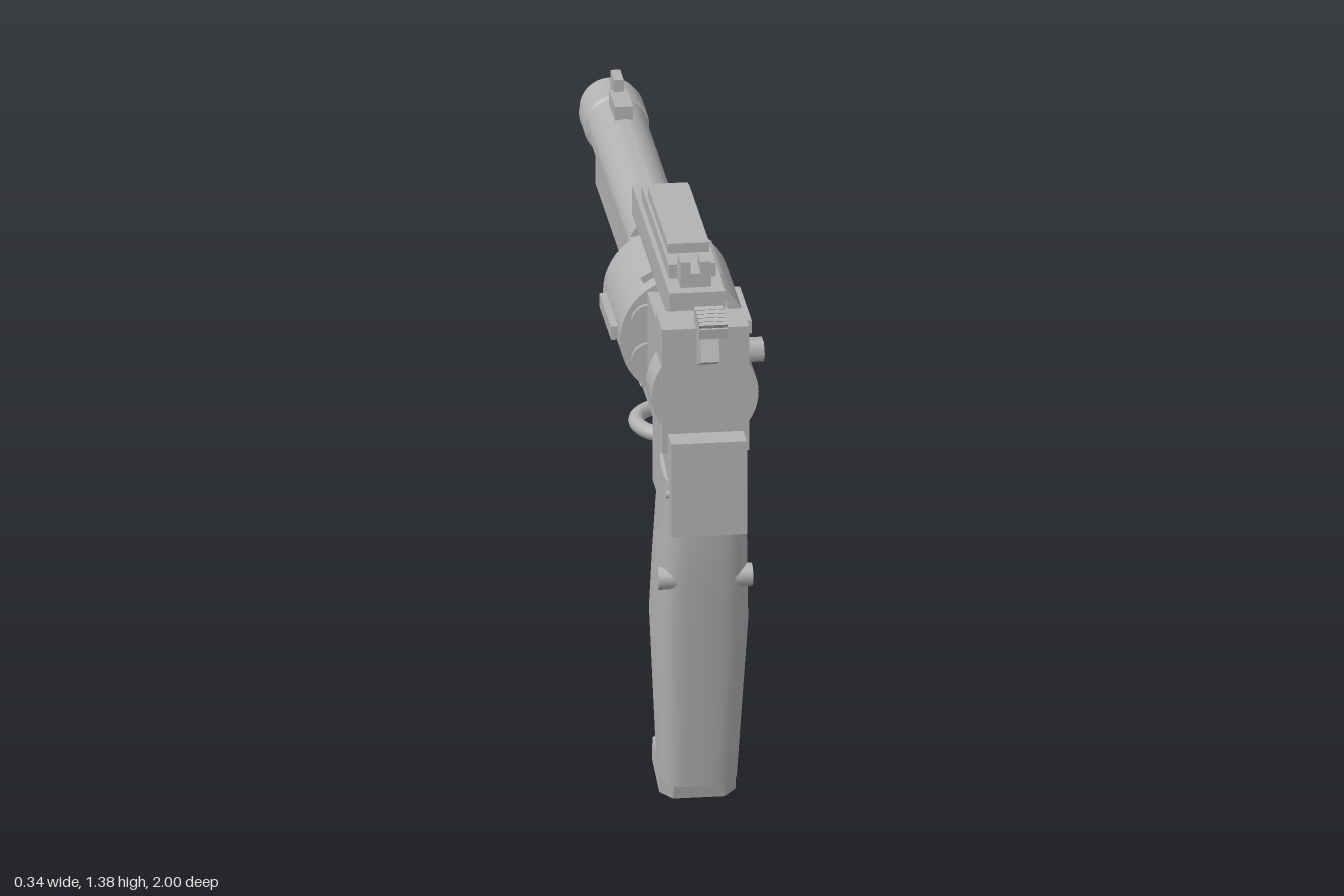
import * as THREE from 'three';
import { toCreasedNormals } from 'three/addons/utils/BufferGeometryUtils.js';

const steel = new THREE.MeshStandardMaterial({ color: 0xb2b2b2 });
steel.name = 'grey steel';

// Lofted grip, bottom to top: each row gives the rear and front point (z, y) and the half width
function gripGeometry(rows, sides = 32) {
  const pos = [], index = [];
  const soft = (v) => Math.sign(v) * Math.abs(v) ** 0.52;
  for (const [zb, yb, zf, yf, w] of rows) {
    for (let i = 0; i < sides; i++) {
      const a = (i / sides) * Math.PI * 2;
      const t = (soft(Math.sin(a)) + 1) / 2;
      pos.push(w * soft(Math.cos(a)), yf + (yb - yf) * t, zf + (zb - zf) * t);
    }
  }
  for (let r = 0; r < rows.length - 1; r++) {
    for (let i = 0; i < sides; i++) {
      const a = r * sides + i, b = r * sides + (i + 1) % sides;
      index.push(a, a + sides, b, b, a + sides, b + sides);
    }
  }
  // End caps
  const last = (rows.length - 1) * sides;
  for (let i = 1; i < sides - 1; i++) {
    index.push(0, i, i + 1, last, last + i + 1, last + i);
  }
  const g = new THREE.BufferGeometry();
  g.setAttribute('position', new THREE.Float32BufferAttribute(pos, 3));
  g.setIndex(index);
  return toCreasedNormals(g, 0.7);
}

// Flat slab with clipped corners, lying in the xz plane
function clippedSlab(w, d, h, c) {
  const pts = [[w - c, -d], [w, c - d], [w, d - c], [w - c, d], [c - w, d], [-w, d - c], [-w, c - d], [c - w, -d]];
  const shape = new THREE.Shape(pts.map(([x, y]) => new THREE.Vector2(x, y)));
  return new THREE.ExtrudeGeometry(shape, { depth: h, bevelEnabled: false })
    .translate(0, 0, -h / 2).rotateX(-Math.PI / 2);
}

export function createModel() {
  const model = new THREE.Group();
  model.name = 'revolver';

  const add = (name, geometry, x = 0, y = 0, z = 0, rx = 0, parent = model) => {
    const m = new THREE.Mesh(geometry, steel);
    m.name = name;
    m.position.set(x, y, z);
    m.rotation.x = rx;
    parent.add(m);
    return m;
  };
  // Box from half width and its y and z ranges
  const block = (name, w, y0, y1, z0, z1) =>
    add(name, new THREE.BoxGeometry(w * 2, y1 - y0, z1 - z0), 0, (y0 + y1) / 2, (z0 + z1) / 2);
  // Cylinder lying along z
  const rod = (name, r, x, y, z0, z1, sides = 40) =>
    add(name, new THREE.CylinderGeometry(r, r, z1 - z0, sides).rotateX(Math.PI / 2), x, y, (z0 + z1) / 2);
  // Cylinder lying along x
  const pin = (name, r, x0, x1, y, z, sides = 24) =>
    add(name, new THREE.CylinderGeometry(r, r, x1 - x0, sides).rotateZ(Math.PI / 2), (x0 + x1) / 2, y, z);

  // Frame
  const outline = [[0.74, 1.225], [0.065, 1.225], [0.065, 0.945], [0.54, 0.945], [0.54, 0.78], [0.85, 0.78], [0.85, 1.02], [0.74, 1.02]];
  const frame = new THREE.ExtrudeGeometry(
    new THREE.Shape(outline.map(([z, y]) => new THREE.Vector2(z, y))), { depth: 0.18, bevelEnabled: false });
  add('frame', frame.translate(0, 0, -0.09).rotateY(-Math.PI / 2));
  block('rearBlock', 0.106, 0.97, 1.29, 0.73, 0.85);
  block('backPlate', 0.092, 0.78, 1.02, 0.72, 0.92);
  rod('recoilShield', 0.13, 0, 1.115, 0.735, 0.84);

  // Top strap, rail and rear sight
  block('topStrap', 0.068, 1.245, 1.32, -0.035, 0.69);
  block('strapFoot', 0.05, 1.2, 1.25, 0.08, 0.69);
  block('railBase', 0.057, 1.32, 1.355, 0.065, 0.59);
  block('rail', 0.05, 1.355, 1.38, 0.135, 0.515);
  block('rearSightBase', 0.037, 1.32, 1.355, 0.585, 0.655);
  for (const s of [-1, 1]) block('rearSightProng', 0.012, 1.35, 1.385, 0.595, 0.655).position.x = s * 0.024;

  // Drum with ribs and chamber rims
  const drumY = 1.103;
  rod('drum', 0.155, 0, drumY, 0.1, 0.43, 48);
  for (let i = 0; i < 6; i++) {
    const a = (i * Math.PI) / 3;
    const rib = add('drumRib', new THREE.BoxGeometry(0.04, 0.034, 0.225),
      Math.cos(a) * 0.151, drumY + Math.sin(a) * 0.151, 0.27);
    rib.rotation.z = a;
    const b = a + Math.PI / 6;
    rod('chamberRim', 0.042, Math.cos(b) * 0.1, drumY + Math.sin(b) * 0.1, 0.092, 0.442, 20);
  }

  // Barrel with hollow muzzle
  const profile = [[0, 0.07], [0.072, 0.07], [0.072, 0.865], [0.079, 0.87], [0.079, 0.965], [0.073, 0.97],
    [0.073, 1], [0.044, 1], [0.038, 0.985], [0.038, 0.93], [0, 0.93]];
  const barrel = new THREE.LatheGeometry(profile.map(([r, l]) => new THREE.Vector2(r, l)), 48);
  add('barrel', toCreasedNormals(barrel.rotateX(-Math.PI / 2), 0.5), 0, 1.146, 0);
  block('barrelLug', 0.055, 1.01, 1.1, -0.835, -0.07);
  block('lugRail', 0.03, 0.985, 1.015, -0.755, -0.07);
  block('lugCatch', 0.022, 0.962, 0.99, -0.255, -0.185);
  rod('ejectorRod', 0.024, 0, 1.007, -0.16, 0.08, 20);
  block('frontSightBase', 0.022, 1.205, 1.25, -0.84, -0.725);
  block('frontSightBlade', 0.012, 1.215, 1.28, -0.895, -0.825);

  // Hammer with a ridged spur
  add('hammer', new THREE.BoxGeometry(0.044, 0.115, 0.14), 0, 1.26, 0.852, -0.42);
  const spur = new THREE.Group();
  spur.name = 'hammerSpur';
  spur.position.set(0, 1.338, 0.948);
  spur.rotation.x = 0.12;
  model.add(spur);
  add('spurPad', new THREE.BoxGeometry(0.07, 0.026, 0.1), 0, 0, 0, 0, spur);
  for (let i = 0; i < 5; i++) {
    add('spurRidge', new THREE.BoxGeometry(0.07, 0.016, 0.011), 0, 0.018, -0.04 + i * 0.02, 0.4, spur);
  }

  // Side latch and small pin
  pin('latchStem', 0.024, 0.08, 0.13, 1.165, 0.68);
  pin('latchHead', 0.038, 0.12, 0.16, 1.163, 0.682, 6).scale.y = 0.75;
  pin('sidePin', 0.01, -0.1, -0.08, 0.872, 0.87, 12);

  // Trigger, a hook curling round one side, and its guard
  add('triggerMount', new THREE.BoxGeometry(0.05, 0.065, 0.085), 0, 0.912, 0.485, -0.3);
  const hook = new THREE.TorusGeometry(0.107, 0.019, 12, 28, 2.9);
  add('trigger', hook.rotateZ(1.5).rotateX(-Math.PI / 2), -0.003, 0.872, 0.386);
  block('guardPost', 0.025, 0.775, 0.925, 0.325, 0.37);
  block('guardPlate', 0.04, 0.75, 0.78, 0.345, 0.59);

  // Grip, screws and butt
  add('grip', gripGeometry([
    [0.778, 0.075, 0.565, 0.12, 0.094],
    [0.842, 0.5, 0.582, 0.5, 0.115],
    [0.865, 0.64, 0.602, 0.64, 0.111],
    [0.886, 0.8, 0.635, 0.8, 0.105],
    [0.886, 0.895, 0.715, 0.94, 0.102],
  ]));
  pin('gripScrew', 0.028, -0.115, 0.115, 0.64, 0.83);
  add('gripFrontPlate', new THREE.BoxGeometry(0.05, 0.16, 0.03), 0, 0.655, 0.612, 0.17);
  add('buttCap', clippedSlab(0.093, 0.103, 0.06, 0.03), 0, 0.077, 0.625, 0.23);
  add('buttStud', new THREE.CylinderGeometry(0.022, 0.022, 0.06, 20), 0, 0.034, 0.615, 0.2);

  return model;
}
